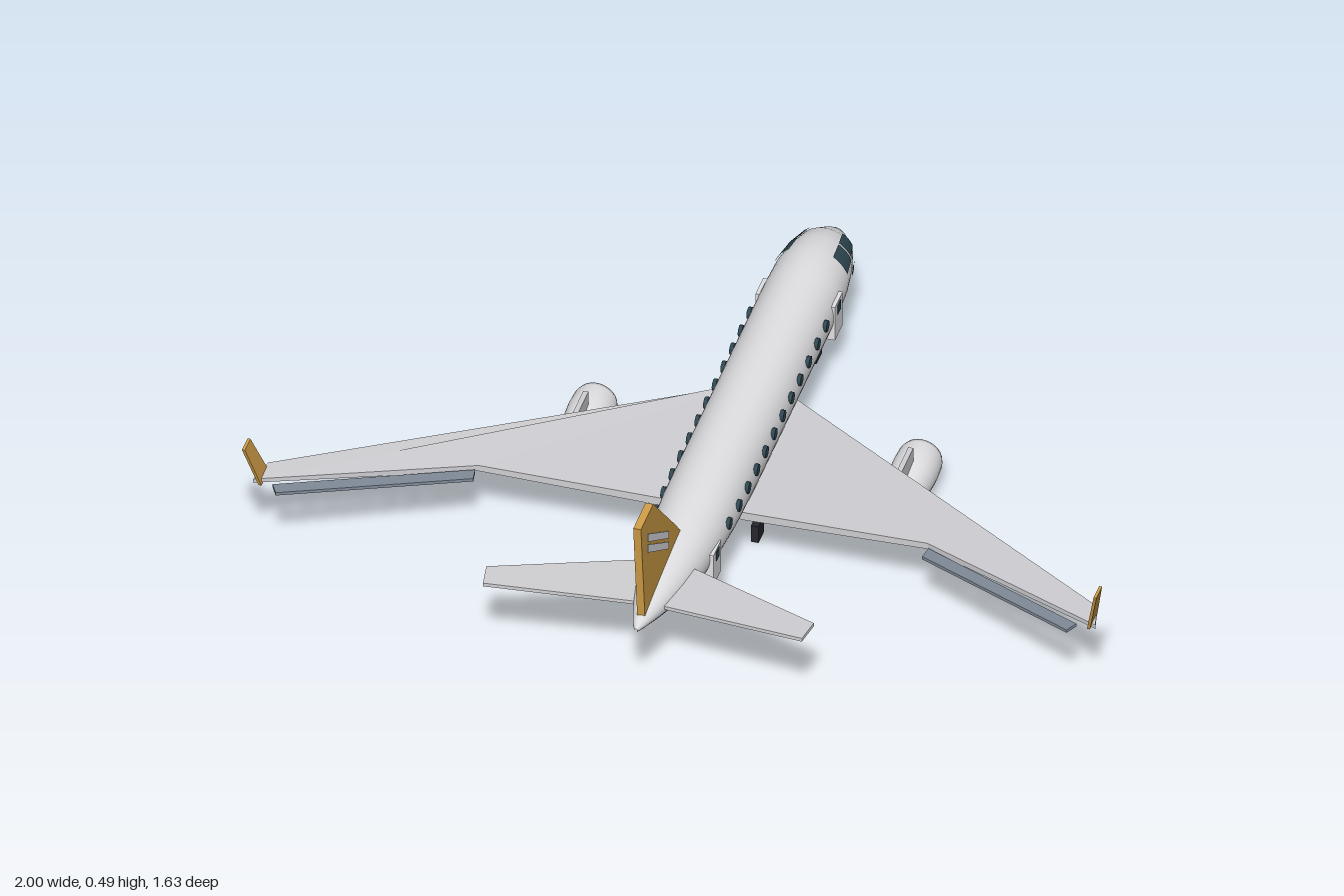
import * as THREE from 'three';

const paint = (name, color, side = THREE.FrontSide) => {
  const m = new THREE.MeshStandardMaterial({ color, side });
  m.name = name;
  return m;
};

// fuselage stations: z, top y, bottom y, half width
const STATIONS = [
  [-0.815, 0.168, 0.160, 0.004], [-0.80, 0.185, 0.150, 0.018], [-0.77, 0.208, 0.138, 0.038],
  [-0.72, 0.240, 0.122, 0.064], [-0.665, 0.257, 0.109, 0.078], [-0.60, 0.268, 0.099, 0.087],
  [-0.52, 0.271, 0.091, 0.090], [0.15, 0.271, 0.090, 0.090], [0.30, 0.270, 0.097, 0.089],
  [0.42, 0.266, 0.108, 0.083], [0.52, 0.261, 0.120, 0.073], [0.62, 0.251, 0.146, 0.057],
  [0.72, 0.238, 0.178, 0.034], [0.79, 0.226, 0.202, 0.014], [0.815, 0.220, 0.210, 0.003],
];

function section(z) {
  let i = 1;
  while (i < STATIONS.length - 1 && STATIONS[i][0] < z) i++;
  const a = STATIONS[i - 1], b = STATIONS[i];
  const t = (z - a[0]) / (b[0] - a[0]);
  return a.map((v, k) => v + (b[k] - v) * t);
}

// a piece of fuselage skin between two angles (0 = top) and two z positions
function skin(a0, a1, z0 = -0.815, z1 = 0.815, lift = 0) {
  const zs = [z0, ...STATIONS.map((s) => s[0]).filter((z) => z > z0 && z < z1), z1];
  const cols = Math.max(2, Math.ceil((a1 - a0) / 8));
  const pos = [], index = [];
  zs.forEach((z, r) => {
    const [, top, bottom, rx] = section(z);
    for (let c = 0; c <= cols; c++) {
      const a = THREE.MathUtils.degToRad(a0 + ((a1 - a0) * c) / cols);
      pos.push((rx + lift) * Math.sin(a), (top + bottom) / 2 + ((top - bottom) / 2 + lift) * Math.cos(a), z);
      if (r < zs.length - 1 && c < cols) {
        const p = r * (cols + 1) + c, q = p + cols + 1;
        index.push(p, q, p + 1, p + 1, q, q + 1);
      }
    }
  });
  const g = new THREE.BufferGeometry();
  g.setAttribute('position', new THREE.Float32BufferAttribute(pos, 3));
  g.setIndex(index);
  g.computeVertexNormals();
  return g;
}

const shapeOf = (pts) => new THREE.Shape(pts.map(([x, y]) => new THREE.Vector2(x, y)));

function moveVertices(g, rule) {
  const p = g.attributes.position, v = new THREE.Vector3();
  for (let i = 0; i < p.count; i++) {
    rule(v.fromBufferAttribute(p, i));
    p.setXYZ(i, v.x, v.y, v.z);
  }
  g.computeVertexNormals();
  return g;
}

// flat surface from an (x, z) outline; height(x) gives dihedral, taper(x) the thickness
function planSurface(pts, side, height, taper) {
  const g = new THREE.ExtrudeGeometry(shapeOf(pts.map(([x, z]) => [side * x, -z])), { depth: 1, bevelEnabled: false });
  g.rotateX(-Math.PI / 2);
  return moveVertices(g, (v) => {
    const x = Math.abs(v.x);
    v.y = height(x) + (v.y - 0.5) * taper(x);
  });
}

// upright plate from a (z, y) outline, centred on x
function sidePlate(pts, thickness, x = 0) {
  const g = new THREE.ExtrudeGeometry(shapeOf(pts), { depth: thickness, bevelEnabled: false });
  return g.rotateY(-Math.PI / 2).translate(x + thickness / 2, 0, 0);
}

export function createModel() {
  const white = paint('body white', 0xe2e2e5);
  const grey = paint('wing grey', 0xd0d0d4);
  const teal = paint('dark teal', 0x2f4954, THREE.DoubleSide);
  const belly = paint('belly slate', 0x66727b);
  const slate = paint('flap slate', 0x808b99);
  const gold = paint('tail gold', 0xd3a048);
  const black = paint('tyre black', 0x25272d);

  const model = new THREE.Group();
  model.name = 'airliner';
  const add = (name, geometry, material, x = 0, y = 0, z = 0) => {
    const m = new THREE.Mesh(geometry, material);
    m.name = name;
    m.position.set(x, y, z);
    model.add(m);
    return m;
  };
  const box = (w, h, d) => new THREE.BoxGeometry(w, h, d);

  // fuselage in three colour bands
  add('fuselage', skin(-109, 109), white);
  add('leftStripe', skin(109, 124), teal);
  add('rightStripe', skin(-124, -109), teal);
  add('belly', skin(124, 236), belly);

  // tail fin
  add('tailFin', sidePlate([[0.48, 0.255], [0.52, 0.30], [0.705, 0.493], [0.805, 0.493], [0.772, 0.22]], 0.018), gold);

  // engine shell, drawn as radius against length, front at the end
  const shell = [[0, 0], [0.036, 0], [0.045, 0.04], [0.052, 0.09], [0.054, 0.13], [0.052, 0.17], [0.048, 0.183],
    [0.044, 0.178], [0.043, 0.155]].map(([r, y]) => new THREE.Vector2(r, y));
  const wingHeight = (x) => 0.136 + 0.07 * Math.max(0, (x - 0.09) / 0.88);
  const flapHeight = (x) => wingHeight(x) - 0.002;

  for (const s of [1, -1]) {
    const side = s > 0 ? 'left' : 'right';

    // wing, flap and winglet
    add(side + 'Wing', planSurface([[0, -0.265], [0.09, -0.2], [0.97, 0.435], [0.985, 0.505], [0.525, 0.272], [0.09, 0.235], [0, 0.23]],
      s, wingHeight, (x) => 0.022 - 0.012 * x), grey);
    add(side + 'Flap', planSurface([[0.53, 0.282], [0.94, 0.503], [0.925, 0.53], [0.525, 0.315]], s, flapHeight, () => 0.008), slate);
    const winglet = sidePlate([[0.445, 0.198], [0.5, 0.32], [0.545, 0.32], [0.505, 0.198]], 0.007);
    moveVertices(winglet, (v) => { v.x += s * (0.969 + 0.027 * (v.y - 0.198) / 0.122); });
    add(side + 'Winglet', winglet, gold);

    // tailplane
    add(side + 'Tailplane', planSurface([[0, 0.53], [0.07, 0.56], [0.383, 0.7], [0.373, 0.762], [0.03, 0.708], [0, 0.705]],
      s, (x) => 0.208 + 0.054 * x, () => 0.009), grey);

    // fin stripes
    for (const [z, y, len] of [[0.75, 0.431, 1], [0.75, 0.401, 1]]) {
      add(side + 'FinStripe', sidePlate([[z, y - 0.011], [z, y + 0.011], [z - 0.165 * len, y - 0.1], [z - 0.165 * len, y - 0.12]],
        0.003, s * 0.0095), white);
    }

    // cabin windows
    for (let i = 0; i < 12; i++) {
      const z = 0.355 - 0.07 * i;
      add(side + 'Window', new THREE.CylinderGeometry(0.014, 0.014, 0.009, 8).rotateZ(Math.PI / 2), teal,
        s * (section(z)[3] - 0.001), 0.203, z);
    }

    // doors with their windows
    for (const [z, x, y, h] of [[-0.505, 0.082, 0.167, 0.092], [0.45, 0.074, 0.16, 0.084]]) {
      add(side + 'Door', box(0.022, h, 0.062), white, s * x, y, z);
      add(side + 'DoorWindow', box(0.006, 0.024, 0.024), teal, s * (x + 0.01), y + 0.026, z);
    }

    // cockpit panes and small nose panel
    const patch = (name, a0, a1, z0, z1) =>
      add(side + name, s > 0 ? skin(a0, a1, z0, z1, 0.004) : skin(-a1, -a0, z0, z1, 0.004), teal);
    patch('FrontPane', 35, 68, -0.725, -0.665);
    patch('SidePane', 35, 70, -0.66, -0.6);
    patch('NosePanel', 94, 110, -0.7, -0.67);

    // engine with fan and pylon
    const ex = s * 0.38, ey = 0.065;
    add(side + 'Engine', new THREE.LatheGeometry(shell, 28).rotateX(-Math.PI / 2), white, ex, ey, 0);
    add(side + 'FanDisc', new THREE.CircleGeometry(0.045, 28).rotateY(Math.PI), black, ex, ey, -0.16);
    for (let i = 0; i < 12; i++) {
      const blade = box(0.006, 0.03, 0.004).translate(0, 0.026, 0);
      add(side + 'FanBlade', blade, grey, ex, ey, -0.164).rotation.z = (i * Math.PI) / 6;
    }
    add(side + 'Spinner', new THREE.ConeGeometry(0.012, 0.03, 16).rotateX(-Math.PI / 2), grey, ex, ey, -0.175);
    add(side + 'Pylon', box(0.012, 0.09, 0.115), grey, ex, 0.108, -0.037);

    // landing gear: main legs outside, nose legs inside
    for (const [name, x, z] of [['Main', 0.085, 0.125], ['Nose', 0.024, -0.555]]) {
      add(side + name + 'Strut', box(0.008, 0.09, 0.008), grey, s * x, 0.085, z);
      add(side + name + 'Wheel', box(0.018, 0.045, 0.045), black, s * x, 0.0225, z);
    }
  }
  return model;
}
